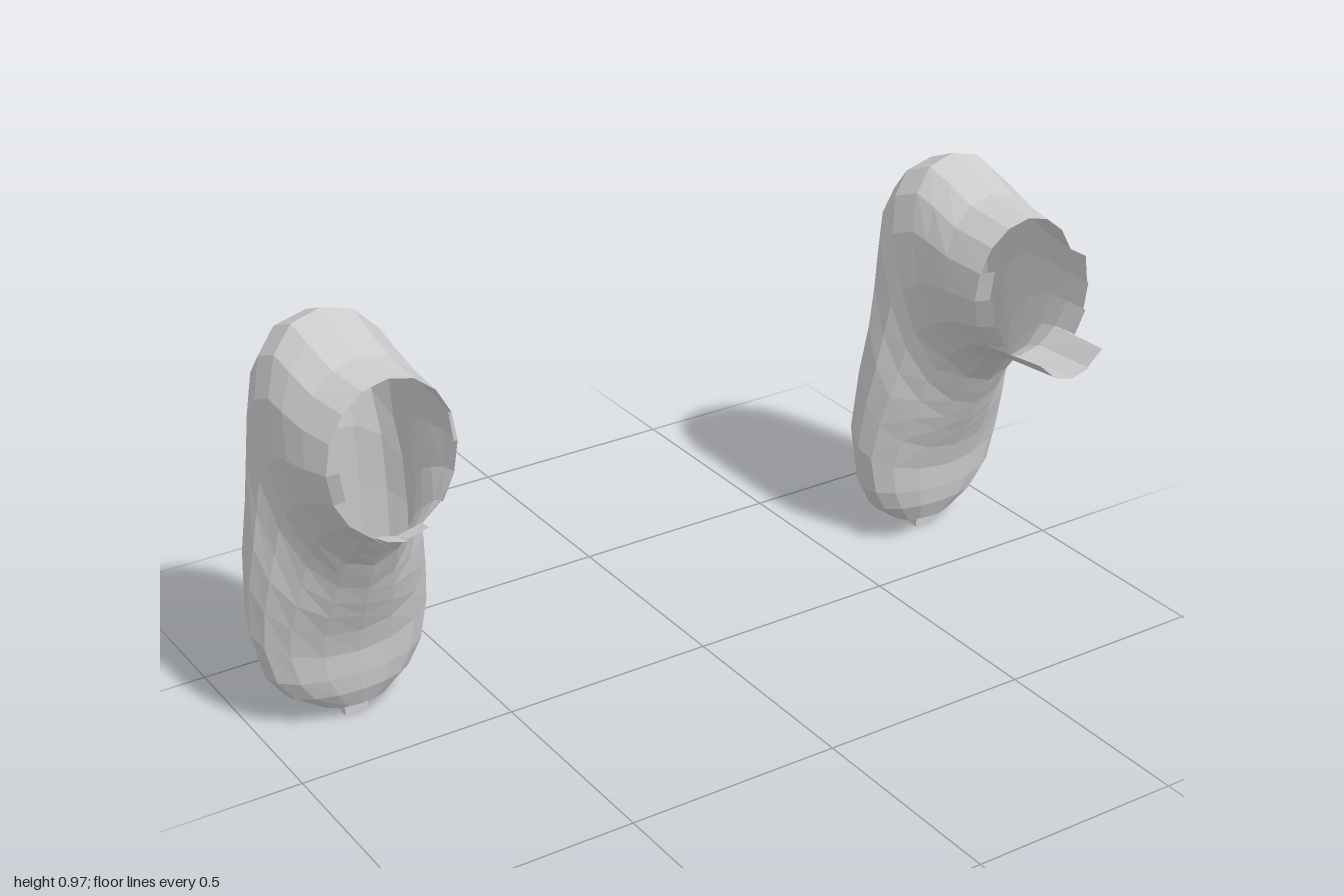
import * as THREE from 'three';

const SEGMENTS = 16;

// Ankle openings; the right one ends further back. Columns as in SECTIONS
const LEFT_OPENING = [0.122, 0.575, 0.122, 0.91, 0.645, 0.93, 2];
const RIGHT_OPENING = [0.088, 0.565, 0.088, 0.912, 0.645, 0.935, 2];

// Fan of sections from the ankle round the heel to the toe:
// instep z, y | sole z, y | inner x, outer x | squareness of the sole side
const SECTIONS = [
  [0.065, 0.545, -0.02, 0.92, 0.642, 0.952, 2.1],
  [0.03, 0.5, -0.11, 0.95, 0.645, 0.96, 2.2],
  [0.0, 0.46, -0.175, 0.97, 0.645, 0.962, 2.3],
  [-0.02, 0.42, -0.25, 0.938, 0.638, 0.965, 2.5],
  [-0.04, 0.385, -0.285, 0.885, 0.63, 0.97, 2.6],
  [-0.06, 0.34, -0.287, 0.77, 0.62, 0.978, 2.6],
  [-0.08, 0.3, -0.275, 0.65, 0.605, 0.99, 2.7],
  [-0.105, 0.25, -0.287, 0.5, 0.592, 1.0, 2.8],
  [-0.125, 0.19, -0.302, 0.32, 0.585, 1.0, 2.8],
  [-0.13, 0.13, -0.295, 0.15, 0.605, 0.975, 2.7],
  [-0.137, 0.085, -0.285, 0.07, 0.64, 0.93, 2.5],
  [-0.16, 0.035, -0.255, 0.035, 0.695, 0.86, 2.2],
];

// Torn edge of the opening: segment -> how far it reaches forward
const LEFT_TABS = {
  3: 0.07, 4: 0.075, 5: 0.082, 6: 0.175, 7: 0.18, 8: 0.18, 9: 0.17, 10: 0.05, 11: 0.04, 12: 0.03,
};
const RIGHT_TABS = { 4: 0.02, 6: 0.115, 7: 0.055, 8: 0.045, 9: 0.02, 10: 0.03, 12: 0.02 };

function sectionPoint([az, ay, bz, by, x0, x1, square], i) {
  const t = (i / SEGMENTS) * Math.PI * 2;
  const c = Math.cos(t), s = Math.sin(t);
  const power = 2 / (c > 0 ? square : 2);
  const d = Math.sign(c) * Math.abs(c) ** power;
  const w = Math.sign(s) * Math.abs(s) ** power;
  return [
    (x0 + x1) / 2 + ((x1 - x0) / 2) * w,
    (ay + by) / 2 + ((by - ay) / 2) * d,
    (az + bz) / 2 + ((bz - az) / 2) * d,
  ];
}

// Flat-faced geometry from triangles, mirrored when side is -1
function facets(triangles, side) {
  const data = [];
  for (const [a, b, c] of triangles) {
    for (const p of side > 0 ? [a, b, c] : [a, c, b]) data.push(p[0] * side, p[1], p[2]);
  }
  const geometry = new THREE.BufferGeometry();
  geometry.setAttribute('position', new THREE.Float32BufferAttribute(data, 3));
  geometry.computeVertexNormals();
  return geometry;
}

function shellGeometry(opening, side) {
  const triangles = [];
  const toe = [0.78, 0.012, -0.2];
  const sections = [opening, ...SECTIONS];
  sections.forEach((section, k) => {
    const next = sections[k + 1];
    for (let i = 0; i < SEGMENTS; i++) {
      const a = sectionPoint(section, i), b = sectionPoint(section, i + 1);
      if (!next) {
        triangles.push([a, toe, b]);
        continue;
      }
      const c = sectionPoint(next, i + 1), d = sectionPoint(next, i);
      triangles.push([a, d, c], [a, c, b]);
    }
  });
  return facets(triangles, side);
}

function tabGeometry(opening, tabs, side) {
  const triangles = [];
  const middle = (opening[4] + opening[5]) / 2;
  for (const [key, reach] of Object.entries(tabs)) {
    const i = Number(key);
    const a = sectionPoint(opening, i), b = sectionPoint(opening, i + 1);
    // Tabs lean slightly inward and up
    const forward = ([x, y, z]) => [middle + (x - middle) * 0.87, y + 0.012, z + reach];
    triangles.push([forward(a), a, b], [forward(a), b, forward(b)]);
  }
  return facets(triangles, side);
}

export function createModel() {
  const model = new THREE.Group();
  model.name = 'bootPair';
  const grey = new THREE.MeshStandardMaterial({
    color: 0xcccccc, flatShading: true, side: THREE.DoubleSide,
  });
  grey.name = 'grey';

  for (const side of [1, -1]) {
    const boot = new THREE.Group();
    boot.name = side > 0 ? 'leftBoot' : 'rightBoot';
    const opening = side > 0 ? LEFT_OPENING : RIGHT_OPENING;
    const tabs = side > 0 ? LEFT_TABS : RIGHT_TABS;
    const add = (name, geometry) => {
      const mesh = new THREE.Mesh(geometry, grey);
      mesh.name = name;
      boot.add(mesh);
      return mesh;
    };
    add('bootShell', shellGeometry(opening, side));
    add('openingTabs', tabGeometry(opening, tabs, side));
    // Small tab at the tip of the toe
    add('toeTab', new THREE.BoxGeometry(0.055, 0.04, 0.048)).position.set(0.78 * side, 0.02, -0.211);
    model.add(boot);
  }
  return model;
}
